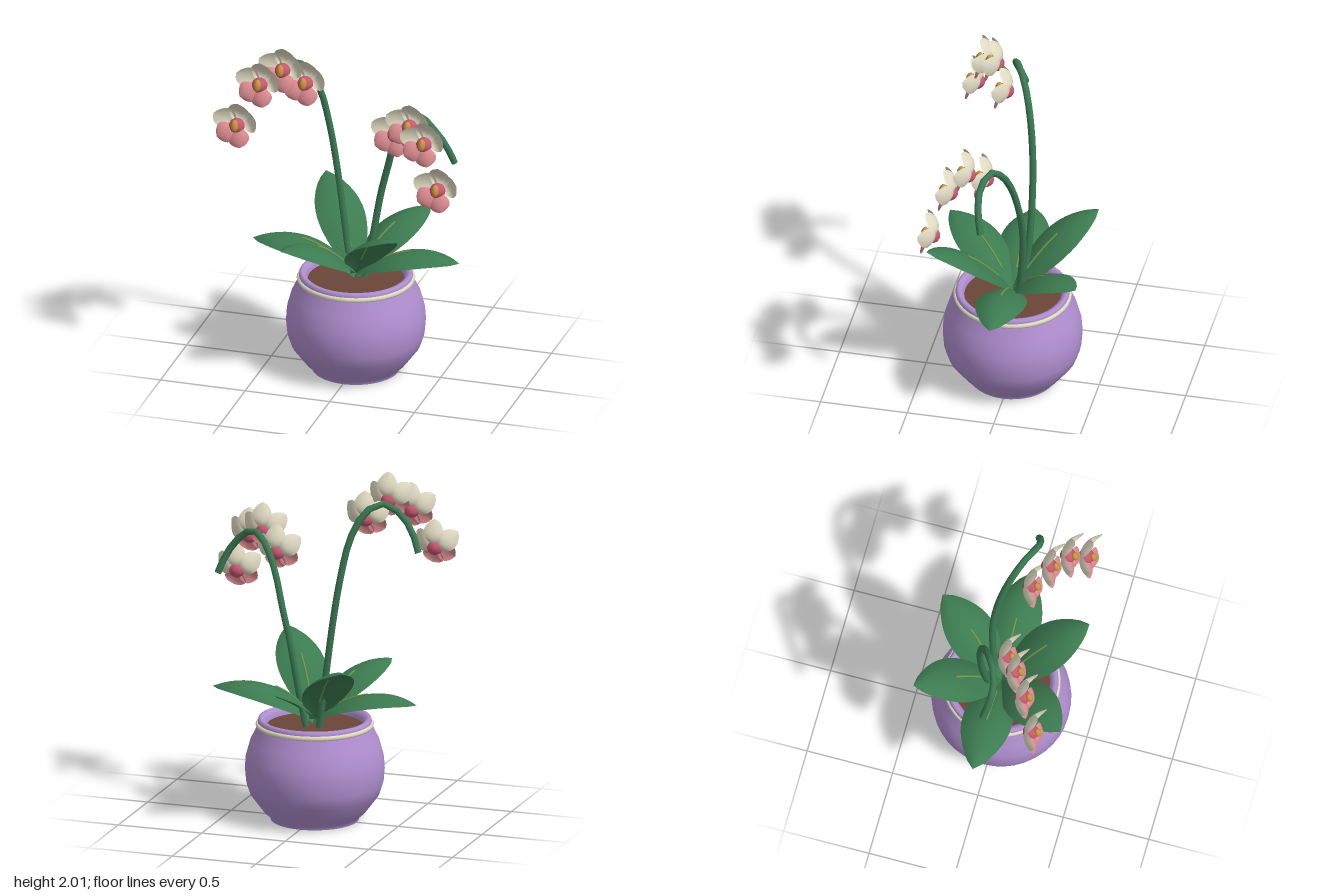
import * as THREE from 'three';

const mat = (name, color, side = THREE.FrontSide) => {
  const m = new THREE.MeshStandardMaterial({ color, side });
  m.name = name;
  return m;
};

export function createModel() {
  const lilac = mat('lilac glaze', 0xb08fd0);
  const cream = mat('cream', 0xe0dac2, THREE.DoubleSide);
  const soilBrown = mat('soil brown', 0x6b4538);
  const leafGreen = mat('leaf green', 0x3c7b50, THREE.DoubleSide);
  const stemGreen = mat('stem green', 0x3a7a52, THREE.DoubleSide);
  const ribGreen = mat('rib green', 0x6f9a48);
  const pink = mat('petal pink', 0xdc8c90, THREE.DoubleSide);
  const rose = mat('rose', 0xc9566f);
  const gold = mat('gold', 0xc8973c);

  const model = new THREE.Group();
  const add = (parent, name, geometry, material) => {
    const mesh = new THREE.Mesh(geometry, material);
    mesh.name = name;
    parent.add(mesh);
    return mesh;
  };

  // Pot: bulbous body with a rolled lip
  const profile = [
    [0.25, 0], [0.255, 0.02], [0.29, 0.05], [0.365, 0.15], [0.388, 0.22], [0.395, 0.3],
    [0.39, 0.37], [0.365, 0.46], [0.325, 0.54], [0.322, 0.575], [0.318, 0.59],
    [0.305, 0.595], [0.285, 0.585], [0.275, 0.56], [0.27, 0.5],
  ].map(([r, y]) => new THREE.Vector2(r, y));
  add(model, 'pot', new THREE.LatheGeometry(profile, 40), lilac);
  add(model, 'pot base', new THREE.CircleGeometry(0.25, 40).rotateX(Math.PI / 2), lilac);
  add(model, 'pot band', new THREE.TorusGeometry(0.32, 0.015, 8, 40).rotateX(Math.PI / 2).translate(0, 0.556, 0), cream);
  add(model, 'soil', new THREE.CircleGeometry(0.28, 40).rotateX(-Math.PI / 2).translate(0, 0.545, 0), soilBrown);

  // Curved blade along +y, facing +z; lift bends it lengthwise, cup bends its edges
  const blade = (length, half, lift, cup, shift, round, base) => {
    const g = new THREE.PlaneGeometry(2, 1, 8, 14).translate(0, 0.5, 0);
    const p = g.attributes.position;
    for (let i = 0; i < p.count; i++) {
      const u = p.getX(i), t = p.getY(i);
      const w = Math.max(Math.max(0, Math.sin(Math.PI * Math.pow(t, shift))) ** round, t < 0.3 ? base : 0);
      p.setXYZ(i, u * w * half, t * length, lift(t) + cup * u * u * w);
    }
    g.computeVertexNormals();
    return g;
  };

  // Six arching leaves: [heading, length, tip rise, arch]
  const diagonal = Math.atan2(0.43, 0.31);
  const leaves = [
    [0, 0.61, 0.14, 0.41], [Math.PI, 0.61, 0.14, 0.41],
    [diagonal, 0.53, 0.41, 0.39], [diagonal + Math.PI, 0.53, 0.41, 0.39],
    [-diagonal, 0.53, 0.275, 0.39], [Math.PI - diagonal, 0.53, 0.275, 0.39],
  ];
  for (const [heading, length, rise, arch] of leaves) {
    const leaf = new THREE.Group();
    leaf.name = 'leaf';
    const lift = (t) => (rise + arch) * t - arch * t * t;
    add(leaf, 'leaf blade', blade(length, 0.142, lift, -0.055, 1, 0.75, 0.25).rotateX(-Math.PI / 2), leafGreen);
    const rib = [0.17, 0.25, 0.33, 0.42, 0.52].map((t) => new THREE.Vector3(0, lift(t) + 0.003, -length * t));
    add(leaf, 'leaf rib', new THREE.TubeGeometry(new THREE.CatmullRomCurve3(rib), 8, 0.006, 6), ribGreen);
    leaf.position.y = 0.58;
    // Heading is measured from +x towards +z
    leaf.rotation.y = -heading - Math.PI / 2;
    model.add(leaf);
  }

  // Two arching stems
  const stems = {
    'right stem': [
      [-0.04, 0.55, -0.04], [-0.09, 0.85, -0.075], [-0.14, 1.2, -0.085], [-0.18, 1.45, -0.075], [-0.23, 1.68, -0.045],
      [-0.3, 1.82, 0], [-0.38, 1.87, 0.05], [-0.47, 1.82, 0.085], [-0.55, 1.72, 0.08], [-0.6, 1.6, 0.055]],
    'left stem': [
      [0.04, 0.55, -0.04], [0.08, 0.8, -0.07], [0.12, 1.05, -0.085], [0.17, 1.25, -0.075], [0.22, 1.43, -0.045],
      [0.29, 1.57, 0], [0.38, 1.64, 0.05], [0.47, 1.59, 0.085], [0.55, 1.49, 0.08], [0.6, 1.37, 0.055]],
  };
  for (const [name, points] of Object.entries(stems)) {
    const curve = new THREE.CatmullRomCurve3(points.map((p) => new THREE.Vector3(...p)));
    add(model, name, new THREE.TubeGeometry(curve, 20, 0.02, 8), stemGreen);
  }

  // Flower: three hooded cream petals, two hanging pink ones, round lip and gold centre
  const creamPetal = blade(0.14, 0.062, (t) => -0.15 * t + 0.22 * t * t, 0.02, 1.3, 0.65, 0.2);
  const pinkPetal = blade(0.125, 0.062, (t) => 0.1 * t - 0.07 * t * t, -0.02, 1.3, 0.65, 0.2);
  const lip = new THREE.SphereGeometry(0.045, 16, 12);
  const centre = new THREE.SphereGeometry(1, 12, 10).scale(0.021, 0.035, 0.02);
  const makeFlower = (x, y, z) => {
    const flower = new THREE.Group();
    flower.name = 'flower';
    const petal = (degrees, geometry, material, name) => {
      add(flower, name, geometry, material).rotation.z = THREE.MathUtils.degToRad(degrees - 90);
    };
    for (const a of [22, 84, 150]) petal(a, creamPetal, cream, 'cream petal');
    for (const a of [-72, -146]) petal(a, pinkPetal, pink, 'pink petal');
    add(flower, 'lip', lip, rose).position.z = -0.004;
    add(flower, 'flower centre', centre, gold).position.set(0, 0.005, 0.042);
    flower.position.set(x, y, z);
    flower.rotation.x = -0.25;
    model.add(flower);
  };
  const flowers = [
    [-0.27, 1.76, 0.1], [-0.38, 1.86, 0.18], [-0.49, 1.79, 0.26], [-0.6, 1.56, 0.34],
    [0.26, 1.515, 0.1], [0.37, 1.61, 0.18], [0.48, 1.55, 0.26], [0.585, 1.315, 0.34],
  ];
  for (const f of flowers) makeFlower(...f);

  return model;
}
